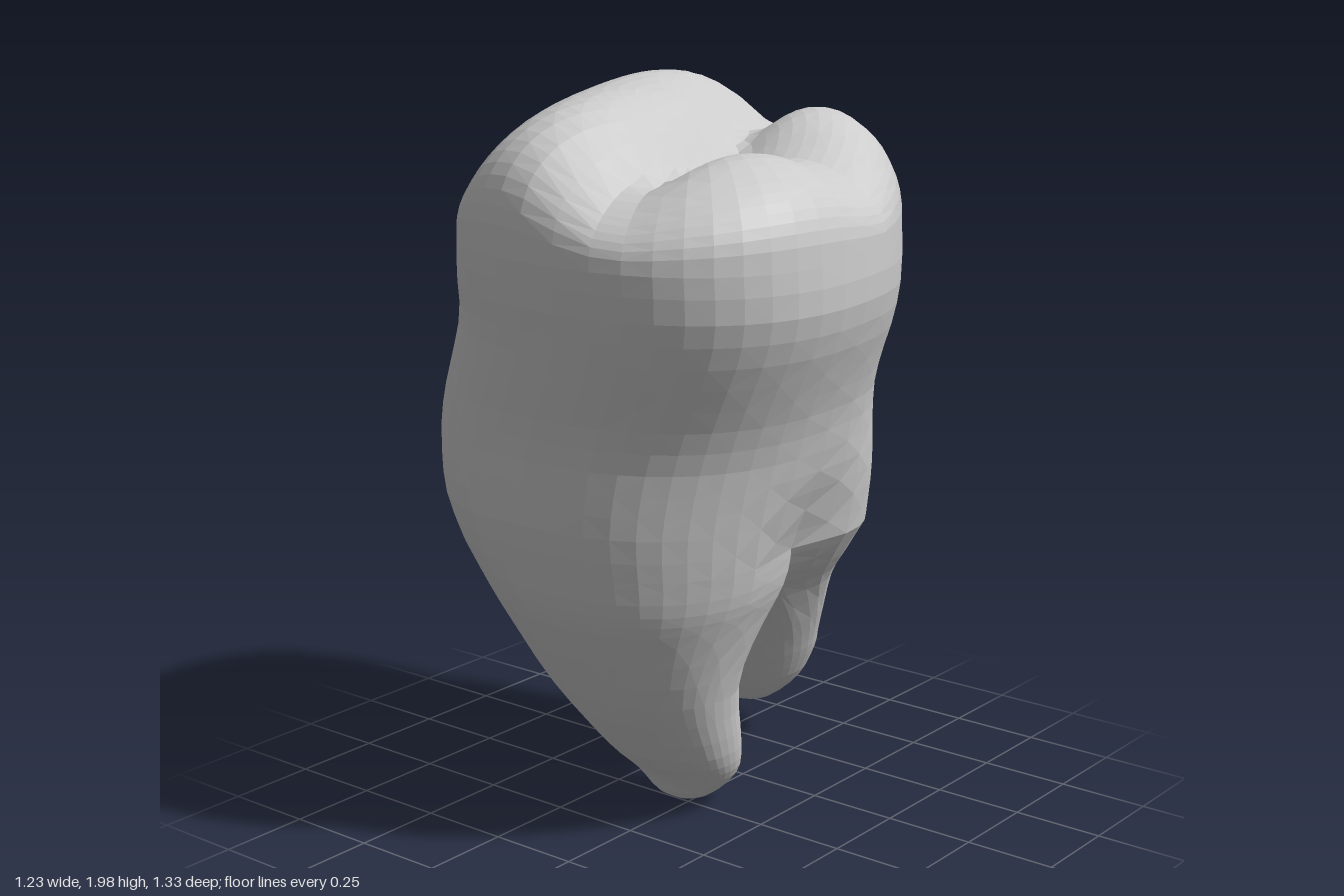
import * as THREE from 'three';

const SIDES = 44;
const HALF = SIDES / 2;
const { smoothstep, lerp, clamp, mapLinear } = THREE.MathUtils;

// Smooth interpolation through the rows of a profile table, t from 0 to 1
function sample(rows, t) {
  const f = t * (rows.length - 1);
  const i = Math.min(Math.floor(f), rows.length - 2);
  const u = f - i;
  const at = (k) => rows[clamp(k, 0, rows.length - 1)];
  const [a, b, c, d] = [at(i - 1), at(i), at(i + 1), at(i + 2)];
  return b.map((v, k) => v + 0.5 * u * (c[k] - a[k]
    + u * (2 * a[k] - 5 * v + 4 * c[k] - d[k]
    + u * (3 * (v - c[k]) + d[k] - a[k]))));
}

// Horizontal rounded section from a row [y, x0, x1, z0, z1]
function section([y, x0, x1, z0, z1], power, shear = 0) {
  const ring = [];
  const bend = (v) => Math.sign(v) * Math.abs(v) ** (2 / power);
  for (let j = 0; j < SIDES; j++) {
    const a = (j / SIDES) * Math.PI * 2;
    const dz = bend(Math.sin(a)) * (z1 - z0) / 2;
    const dx = bend(Math.cos(a)) * (x1 - x0) / 2 + shear * dz;
    ring.push([(x0 + x1) / 2 + dx, y, (z0 + z1) / 2 + dz]);
  }
  return ring;
}

// Skin a stack of rings, bottom to top
function loft(name, rings, material) {
  const index = [];
  for (let i = 0; i < rings.length - 1; i++) {
    for (let j = 0; j < SIDES; j++) {
      const a = i * SIDES + j;
      const b = i * SIDES + (j + 1) % SIDES;
      const c = a + SIDES;
      const d = b + SIDES;
      // alternate the diagonals for an even facet pattern
      if ((i + j) % 2) index.push(a, c, b, b, c, d);
      else index.push(a, c, d, a, d, b);
    }
  }
  const geometry = new THREE.BufferGeometry();
  geometry.setAttribute('position', new THREE.Float32BufferAttribute(rings.flat(2), 3));
  geometry.setIndex(index);
  geometry.computeVertexNormals();
  const mesh = new THREE.Mesh(geometry, material);
  mesh.name = name;
  return mesh;
}

// Cusps, then the low ridges joining them at back and front:
// x, z, height, then fall-off toward -x, +x, -z, +z
const CUSPS = [
  [-0.2, -0.2, 2.0, 1.5, 3.2, 0.8, 0.4],
  [-0.08, 0.28, 1.97, 2.0, 3, 0.4, 0.1],
  [0.28, -0.3, 1.95, 3, 1, 0.8, 1.5],
  [0.42, 0.28, 1.87, 2.4, 0.5, 1.1, 0.9],
  [0.05, -0.42, 1.84, 3, 3, 0.5, 4],
  [0.18, 0.52, 1.77, 3, 3, 4, 0.5],
];

// Chewing surface: soft maximum of the cusps, leaving grooves where they meet
function chewingHeight(x, z) {
  const sum = CUSPS.reduce((total, [cx, cz, h, xn, xp, zn, zp]) => {
    const dx = x - cx;
    const dz = z - cz;
    const y = h - (dx < 0 ? xn : xp) * dx * dx - (dz < 0 ? zn : zp) * dz * dz;
    return total + Math.exp(24 * y);
  }, 0);
  return Math.log(sum) / 24;
}

// Body rows: y, x0, x1, z0, z1
const BODY = [
  [0.8, -0.535, 0.41, -0.53, 0.555],
  [0.9, -0.575, 0.43, -0.53, 0.575],
  [1.0, -0.6, 0.45, -0.52, 0.58],
  [1.1, -0.615, 0.47, -0.505, 0.58],
  [1.2, -0.605, 0.5, -0.49, 0.59],
  [1.3, -0.58, 0.54, -0.5, 0.61],
  [1.4, -0.56, 0.58, -0.52, 0.63],
  [1.5, -0.56, 0.605, -0.525, 0.65],
  [1.6, -0.55, 0.605, -0.525, 0.66],
];

function bodyRings() {
  const rings = [];
  const steps = 14;
  for (let i = 0; i <= steps; i++) {
    const row = sample(BODY, i / steps);
    const rise = smoothstep(row[0], 0.9, 1.5);
    // groove running up the sides from the fork of the roots
    const groove = 0.15 * (1 - smoothstep(row[0], 0.7, 1.1));
    rings.push(section(row, 2.55 - 0.2 * rise, 0.15 * rise).map(([x, y, z]) => {
      const pinch = 1 - groove * Math.exp(-((z - 0.01) ** 2) / 0.025);
      return [-0.07 + (x + 0.07) * pinch, y, z];
    }));
  }
  return rings;
}

// Rounded rim and cusps that close the body
function capRings(edge) {
  const rings = [];
  const [cx, cz] = [0.09, 0.07];
  const rim = edge[0][1];
  const count = 20;
  for (let i = 1; i <= count; i++) {
    const t = i / count;
    const s = t < 0.4 ? 1 - 0.22 * (t / 0.4) ** 1.9 : 0.78 * (1 - t) / 0.6;
    const lift = (1 - s ** 2.9) ** (1 / 2.9);
    rings.push(edge.map(([ex, , ez]) => {
      const x = lerp(cx, ex, s);
      const z = lerp(cz, ez, s);
      return [x, rim + (chewingHeight(x, z) - rim) * lift, z];
    }));
  }
  return rings;
}

// Root rows below the body: y, x0, x1, z0, z1
const FRONT_ROOT = [
  [0.0, -0.03, -0.03, -0.02, -0.02],
  [0.025, -0.11, 0.05, -0.09, 0.04],
  [0.1, -0.17, 0.13, -0.13, 0.1],
  [0.2, -0.21, 0.18, -0.11, 0.21],
  [0.4, -0.29, 0.24, -0.05, 0.37],
  [0.6, -0.39, 0.32, -0.02, 0.485],
  [0.7, -0.445, 0.36, -0.01, 0.53],
];
const BACK_ROOT = [
  [0.1, -0.2, -0.2, -0.55, -0.55],
  [0.125, -0.27, -0.12, -0.61, -0.46],
  [0.2, -0.325, -0.03, -0.66, -0.36],
  [0.3, -0.355, 0.04, -0.665, -0.26],
  [0.4, -0.385, 0.1, -0.625, -0.17],
  [0.6, -0.455, 0.23, -0.55, -0.05],
  [0.7, -0.49, 0.31, -0.535, -0.01],
];

// A root changes upward from a rounded section to half of the body's lowest ring
function buildRoot(name, rows, neck, isFront, material) {
  const right = neck[0];
  const left = neck[HALF];
  const socket = neck.map((point, j) => {
    if (j % HALF === 0 || (j < HALF) === isFront) return point;
    const u = (1 + Math.cos((j / SIDES) * Math.PI * 2)) / 2;
    return [lerp(left[0], right[0], u), point[1], right[2]];
  });
  const [xs, zs] = [0, 2].map((k) => socket.map((point) => point[k]));
  const top = [right[1], Math.min(...xs), Math.max(...xs), Math.min(...zs), Math.max(...zs)];
  const rings = [];
  const steps = 21;
  for (let i = 0; i <= steps; i++) {
    const row = sample([...rows, top], i / steps);
    const w = smoothstep(row[0], 0.35, 0.8);
    rings.push(section(row, 2.2).map(([x, y, z], j) => [
      lerp(x, mapLinear(xs[j], top[1], top[2], row[1], row[2]), w),
      y,
      lerp(z, mapLinear(zs[j], top[3], top[4], row[3], row[4]), w),
    ]));
  }
  return loft(name, rings, material);
}

export function createModel() {
  const model = new THREE.Group();
  model.name = 'molarTooth';
  const material = new THREE.MeshStandardMaterial({ color: 0xcccccc, flatShading: true });
  const body = bodyRings();
  const cap = capRings(body[body.length - 1]);
  model.add(
    loft('crown', [...body, ...cap], material),
    buildRoot('frontRoot', FRONT_ROOT, body[0], true, material),
    buildRoot('backRoot', BACK_ROOT, body[0], false, material),
  );
  return model;
}
